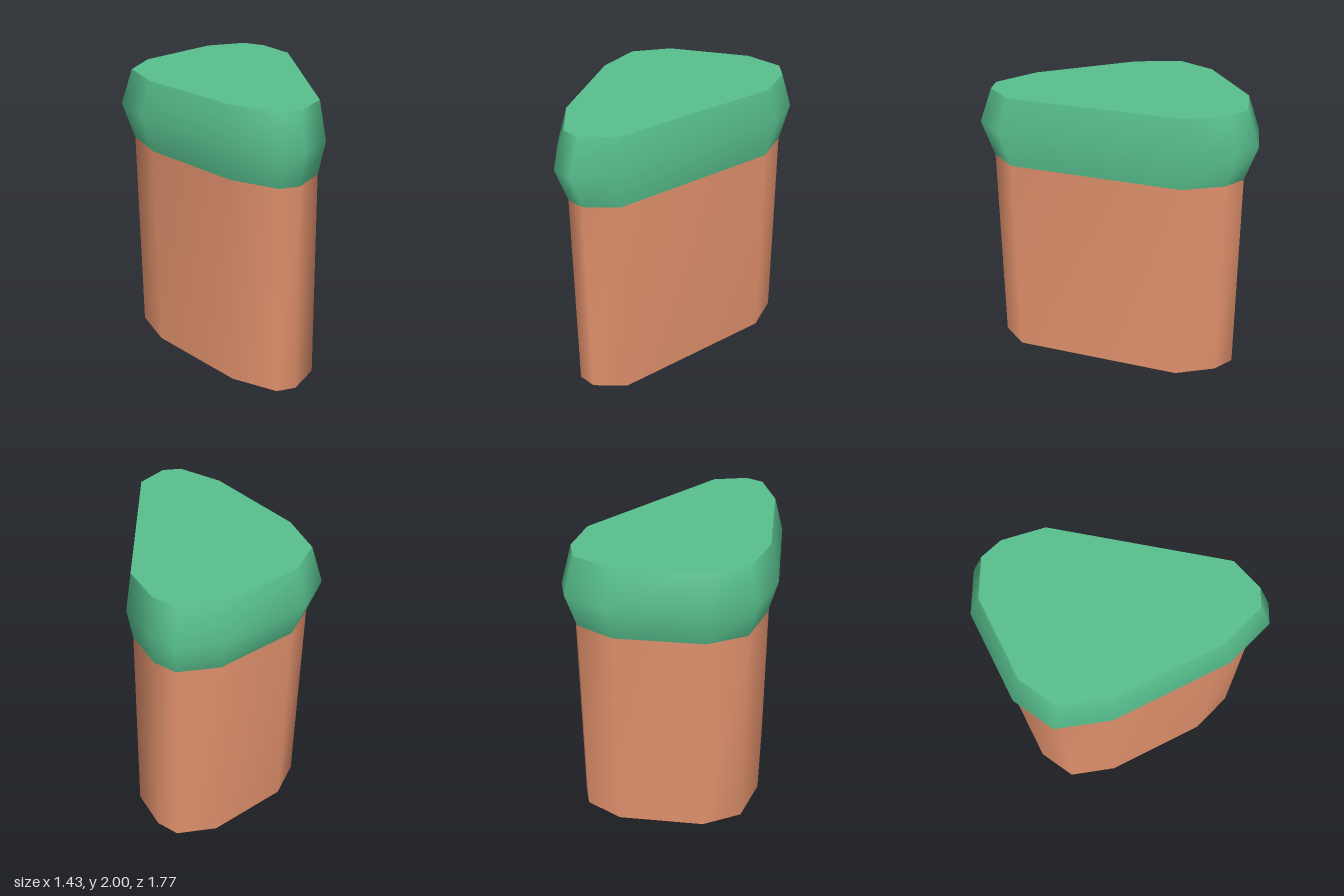
import * as THREE from 'three';

// Widest outline of the cap as [x, z], clockwise seen from above
const OUTLINE = [
  [-0.27, -0.89], [0.39, -0.867], [0.665, -0.71], [0.715, -0.53],
  [0.652, -0.205], [-0.222, 0.83], [-0.485, 0.885], [-0.615, 0.81],
  [-0.72, 0.45], [-0.69, -0.395], [-0.56, -0.75],
];
const INSET = 0.91; // body and top face are this fraction of the widest outline
const N = OUTLINE.length;

// Stacks scaled outlines ([y, scale]) into a smooth wall with flat, sharp-edged ends
function prism(rings, closeTop, closeBottom) {
  const positions = [], indices = [];
  const addRing = ([y, s]) => {
    const start = positions.length / 3;
    OUTLINE.forEach(([x, z]) => positions.push(x * s, y, z * s));
    return start;
  };
  const starts = rings.map(addRing);
  for (let r = 0; r < rings.length - 1; r++) {
    for (let i = 0; i < N; i++) {
      const j = (i + 1) % N, lo = starts[r], hi = starts[r + 1];
      indices.push(lo + i, hi + i, lo + j, lo + j, hi + i, hi + j);
    }
  }
  // Ends use their own vertices so their edges stay hard
  const addEnd = (ring, up) => {
    const s = addRing(ring);
    for (let i = 1; i < N - 1; i++) {
      if (up) indices.push(s, s + i + 1, s + i);
      else indices.push(s, s + i, s + i + 1);
    }
  };
  if (closeTop) addEnd(rings[rings.length - 1], true);
  if (closeBottom) addEnd(rings[0], false);

  const geometry = new THREE.BufferGeometry();
  geometry.setAttribute('position', new THREE.Float32BufferAttribute(positions, 3));
  geometry.setIndex(indices);
  geometry.computeVertexNormals();
  return geometry;
}

export function createModel() {
  const dirt = new THREE.MeshStandardMaterial({ color: 0xe0906c });
  dirt.name = 'dirt';
  const grass = new THREE.MeshStandardMaterial({ color: 0x58c08e });
  grass.name = 'grass';

  const model = new THREE.Group();
  model.name = 'cliffBlock';

  // Straight earth column
  const column = new THREE.Mesh(prism([[0, INSET], [1.5, INSET]], false, true), dirt);
  column.name = 'earthColumn';

  // Bulging grass cap
  const cap = new THREE.Mesh(prism([[1.5, INSET], [1.75, 1], [2, INSET]], true, false), grass);
  cap.name = 'grassCap';

  model.add(column, cap);
  return model;
}
